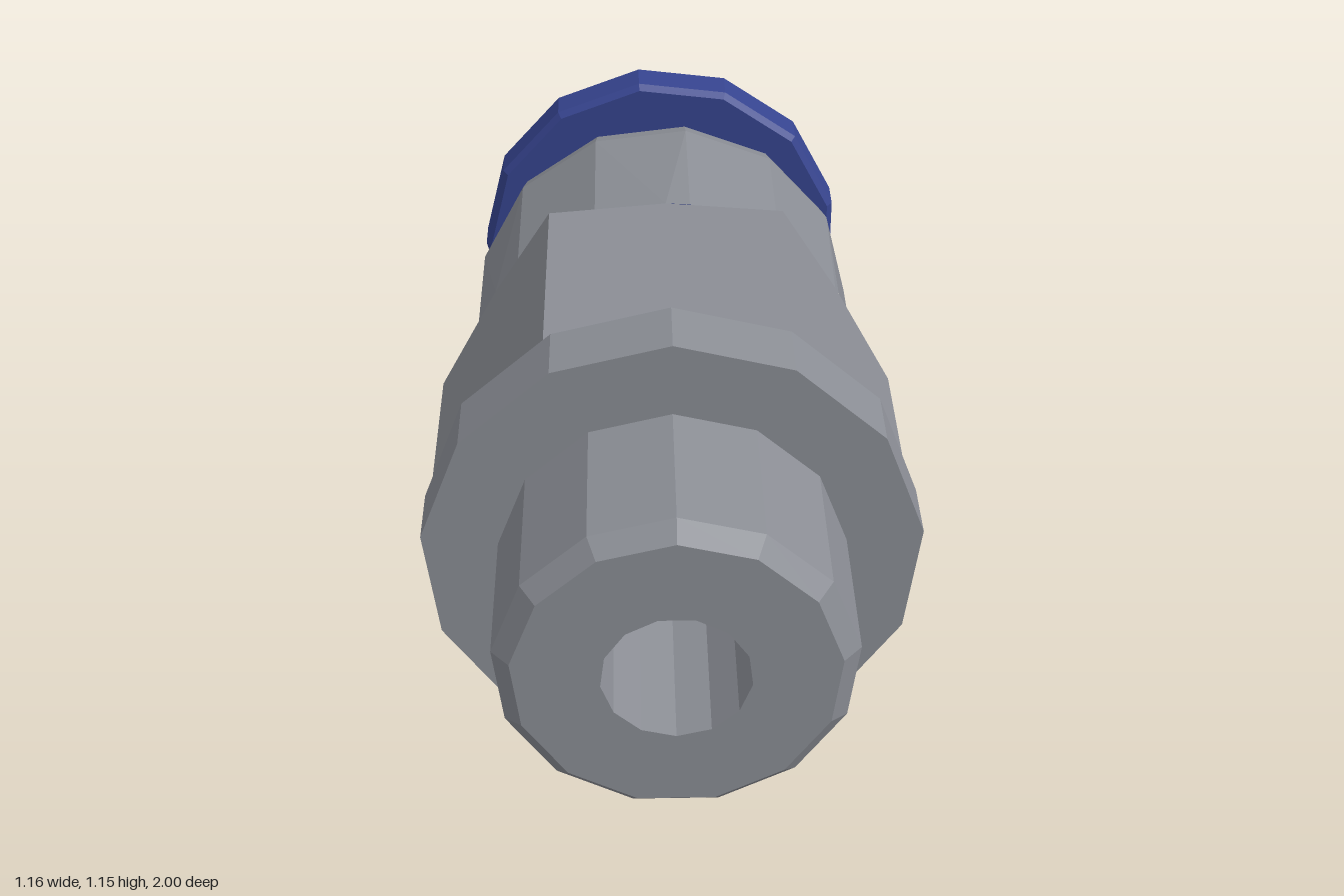
import * as THREE from 'three';
import { ConvexGeometry } from 'three/addons/geometries/ConvexGeometry.js';

const SIDES = 13, AXIS_Y = 0.5665, BORE = 0.167;
const STEP = (2 * Math.PI) / SIDES;
const UP = Math.PI / 2, DOWN = -Math.PI / 2;

// Points of a regular ring around the z axis, angle measured from +x
function ring(r, z, start = UP, sides = SIDES) {
  return Array.from({ length: sides }, (_, i) => {
    const a = start + (i * 2 * Math.PI) / sides;
    return new THREE.Vector3(r * Math.cos(a), r * Math.sin(a), z);
  });
}

// Faceted turned part along z; profile holds [radius, z]
function turned(profile, start = UP) {
  const pts = profile.map(([r, z]) => new THREE.Vector2(r, z));
  const g = new THREE.LatheGeometry(pts, SIDES, start + Math.PI / 2);
  return g.rotateX(Math.PI / 2);
}

// Convex skin around rings, left open at its flat front and back ends
function openHull(points) {
  const hull = new ConvexGeometry(points);
  const p = hull.attributes.position, n = hull.attributes.normal, kept = [];
  for (let i = 0; i < p.count; i += 3) {
    if (Math.abs(n.getZ(i)) > 0.999) continue;
    for (let j = i; j < i + 3; j++) kept.push(p.getX(j), p.getY(j), p.getZ(j));
  }
  const g = new THREE.BufferGeometry();
  g.setAttribute('position', new THREE.Float32BufferAttribute(kept, 3));
  g.computeVertexNormals();
  return g;
}

// Flat end face pierced by the bore, facing +z or (back) -z
function endFace(outline, z, back = false) {
  const flat = (pts) => pts.map((v) => new THREE.Vector2(back ? -v.x : v.x, v.y));
  const shape = new THREE.Shape(flat(outline));
  shape.holes.push(new THREE.Path(flat(ring(BORE, 0, DOWN))));
  const g = new THREE.ShapeGeometry(shape);
  if (back) g.rotateY(Math.PI);
  return g.translate(0, 0, z);
}

export function createModel() {
  const metal = new THREE.MeshStandardMaterial({ color: 0x8b8e95, flatShading: true });
  metal.name = 'grey metal';
  const plastic = new THREE.MeshStandardMaterial({ color: 0x36448f, flatShading: true });
  plastic.name = 'blue plastic';

  const model = new THREE.Group();
  model.name = 'pushInFitting';
  const add = (name, geometry, material = metal) => {
    const mesh = new THREE.Mesh(geometry, material);
    mesh.name = name;
    mesh.position.y = AXIS_Y;
    model.add(mesh);
  };

  // Front spigot with chamfered end
  add('spigot', turned([[0.405, 0.58], [0.405, 0.96], [0.364, 1]]));
  add('spigotEnd', endFace(ring(0.364, 0), 1));

  // Round flange; its back rim has three extra corners
  const R = 0.5835;
  const extra = [DOWN - STEP, DOWN + STEP, UP - 3.5 * STEP];
  const backRim = [...ring(R, 0.42), ...extra.map((a) =>
    new THREE.Vector3(R * Math.cos(a), R * Math.sin(a), 0.42))];
  backRim.sort((a, b) => Math.atan2(a.y, a.x) - Math.atan2(b.y, b.x));
  add('flange', openHull([...ring(R, 0.58), ...backRim]));
  add('flangeFront', endFace(ring(R, 0), 0.58));
  add('flangeBack', endFace(backRim, 0.42, true));

  // Hexagonal nut, corners bevelled at the back
  const hexR = 0.5 / Math.cos(Math.PI / 6);
  add('hexNut', openHull([
    ...ring(hexR, 0.42, 0, 6), ...ring(hexR, -0.165, 0, 6), ...ring(0.5, -0.21, Math.PI / 6, 6),
  ]));

  // Sleeve with rounded shoulder, meeting the nut at its flats
  const shoulder = [[0.5, -0.21], [0.5, -0.61], [0.487, -0.66], [0.45, -0.697], [0.393, -0.71]];
  add('sleeve', openHull([
    ...ring(0.5, -0.21, Math.PI / 6, 6),
    ...shoulder.flatMap(([r, z]) => ring(r, z, 0)),
  ]));

  // Collar behind the sleeve
  add('collar', turned([[0.393, -0.79], [0.393, -0.71]], 0));
  add('collarEnd', endFace(ring(0.393, 0, 0), -0.79, true));

  // Through bore, facing inwards
  add('bore', turned([[BORE, 1], [BORE, -0.79]], DOWN));

  // Release button: neck, chamfered disc and stepped socket
  add('releaseButton', turned([
    [0.235, -1], [0.485, -1], [0.5, -0.985], [0.5, -0.895], [0.485, -0.88],
    [0.287, -0.88], [0.287, -0.79], [0.173, -0.79], [0.173, -0.83],
    [0.235, -0.83], [0.235, -1],
  ], Math.PI), plastic);

  return model;
}
